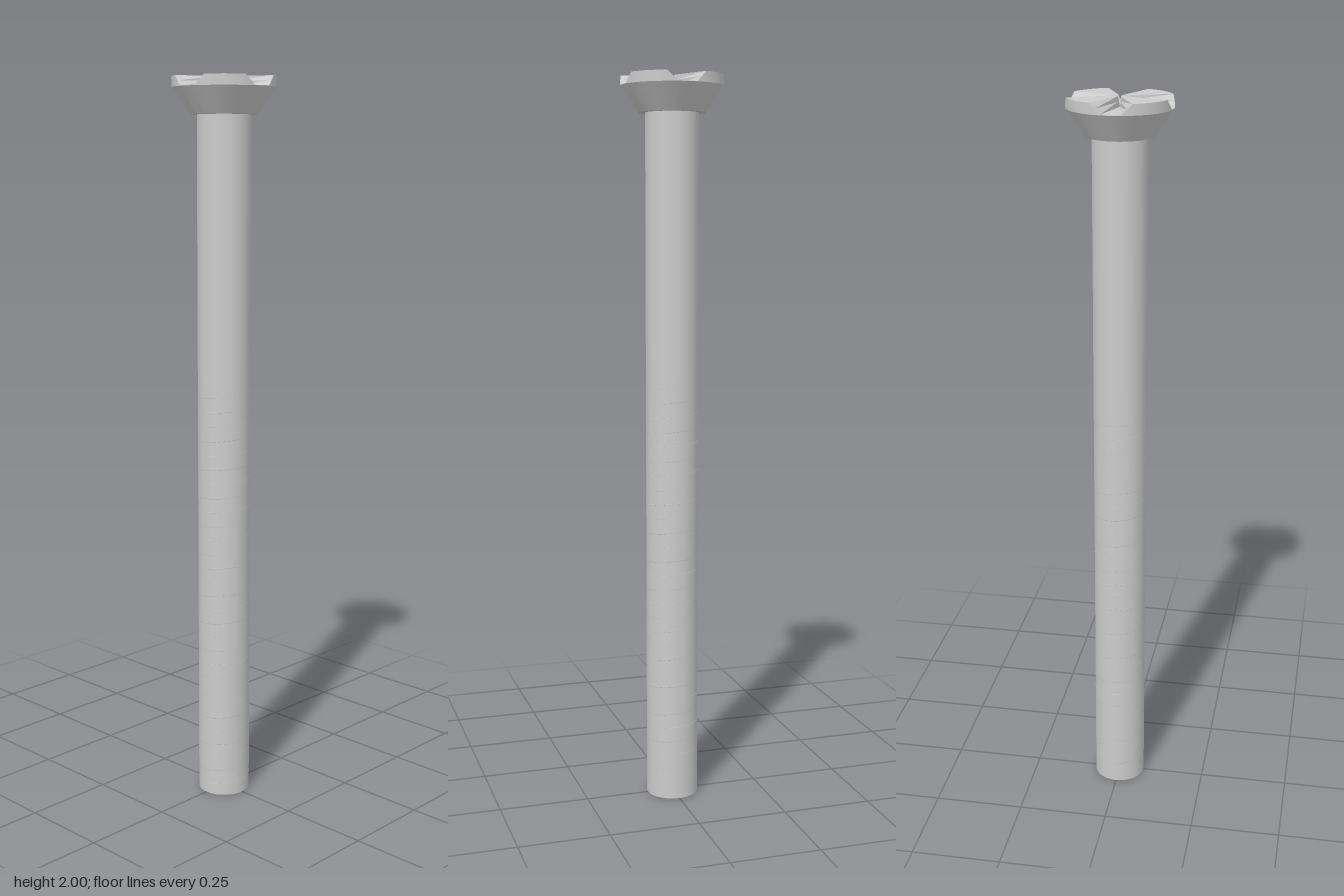
import * as THREE from 'three';
import { toCreasedNormals } from 'three/addons/utils/BufferGeometryUtils.js';

const TOP = 2.0, FLOOR = 1.973, SHAFT_R = 0.072, HEAD_R = 0.138;

// Countersunk head, with four tapered notches cut across its top
function headGeometry() {
  const profile = [[0, 1.902], [0.09, 1.902], [HEAD_R, FLOOR - 0.001], [HEAD_R, TOP], [0.01, TOP], [0, FLOOR]]
    .map(([r, y]) => new THREE.Vector2(r, y));
  const geo = new THREE.LatheGeometry(profile, 64);
  const pos = geo.attributes.position;
  for (let i = 0; i < pos.count; i++) {
    if (pos.getY(i) < TOP - 0.001) continue;
    // angle to the nearest axis: flat floor to 11.25 deg, ramp to 22.5 deg, then full height
    const x = Math.abs(pos.getX(i)), z = Math.abs(pos.getZ(i));
    const angle = THREE.MathUtils.radToDeg(Math.atan2(Math.min(x, z), Math.max(x, z)));
    const rise = THREE.MathUtils.clamp((angle - 11.25) / 11.25, 0, 1);
    pos.setY(i, FLOOR + rise * (TOP - FLOOR));
  }
  return toCreasedNormals(geo, 0.3);
}

// Very shallow thread on the lower part of the shaft
class Helix extends THREE.Curve {
  getPoint(t, target = new THREE.Vector3()) {
    const a = t * 29 * Math.PI * 2, r = SHAFT_R - 0.0015;
    return target.set(r * Math.cos(a), 0.01 + 1.16 * t, -r * Math.sin(a));
  }
}

export function createModel() {
  const group = new THREE.Group();
  const material = new THREE.MeshStandardMaterial({ color: 0xcccccc });
  const add = (name, geometry) => {
    const mesh = new THREE.Mesh(geometry, material);
    mesh.name = name;
    group.add(mesh);
    return mesh;
  };
  add('shaft', new THREE.CylinderGeometry(SHAFT_R, SHAFT_R, 1.91, 48)).position.y = 0.955;
  add('thread', new THREE.TubeGeometry(new Helix(), 29 * 32, 0.002, 5));
  add('head', headGeometry());
  return group;
}
